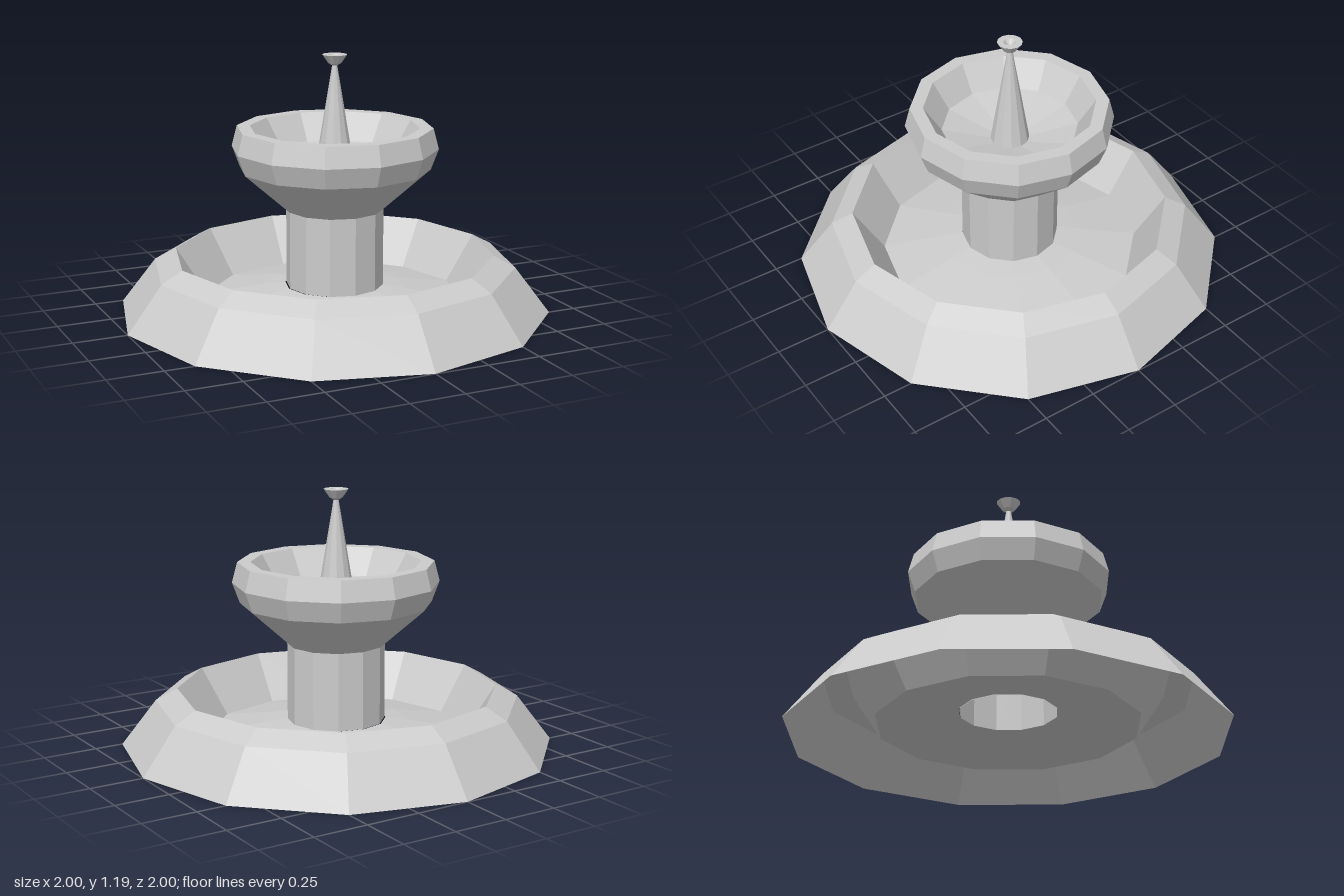
import * as THREE from 'three';

const SIDES = 12;
const stone = new THREE.MeshStandardMaterial({
  color: 0xcccccc, flatShading: true, side: THREE.DoubleSide,
});

// Faceted ring of revolution from [radius, height] pairs, running up the outside
function turned(name, profile) {
  const points = profile.map(([r, y]) => new THREE.Vector2(r, y));
  const mesh = new THREE.Mesh(new THREE.LatheGeometry(points, SIDES), stone);
  mesh.name = name;
  return mesh;
}

export function createModel() {
  const fountain = new THREE.Group();
  fountain.name = 'fountain';

  // Lower basin: open-bottomed shell with sloping walls and a gently raised floor
  const basin = turned('lowerBasin', [
    [1, 0], [0.84, 0.21], [0.74, 0.265], [0.6, 0.05], [0.33, 0.1], [0.225, 0.115],
  ]);

  // Everything above the basin sits very slightly off its axis
  const upper = new THREE.Group();
  upper.name = 'upperFountain';
  upper.position.set(0.005, 0, 0.003);

  // Hollow column, open below
  const column = turned('column', [[0.225, 0.115], [0.225, 0.475]]);

  // Upper bowl: flared outside, flat rim, dished inside
  const bowl = turned('upperBowl', [
    [0.225, 0.475], [0.44, 0.665], [0.475, 0.76], [0.45, 0.855],
    [0.39, 0.855], [0.31, 0.73], [0, 0.65],
  ]);

  // Tapering spout
  const spout = turned('spout', [[0.09, 0.665], [0.012, 1.137]]);

  // Flared nozzle with a small recess in its top
  const nozzle = turned('nozzle', [
    [0.012, 1.137], [0.03, 1.148], [0.057, 1.187], [0.028, 1.187], [0.012, 1.165], [0, 1.165],
  ]);

  upper.add(column, bowl, spout, nozzle);
  fountain.add(basin, upper);
  return fountain;
}
